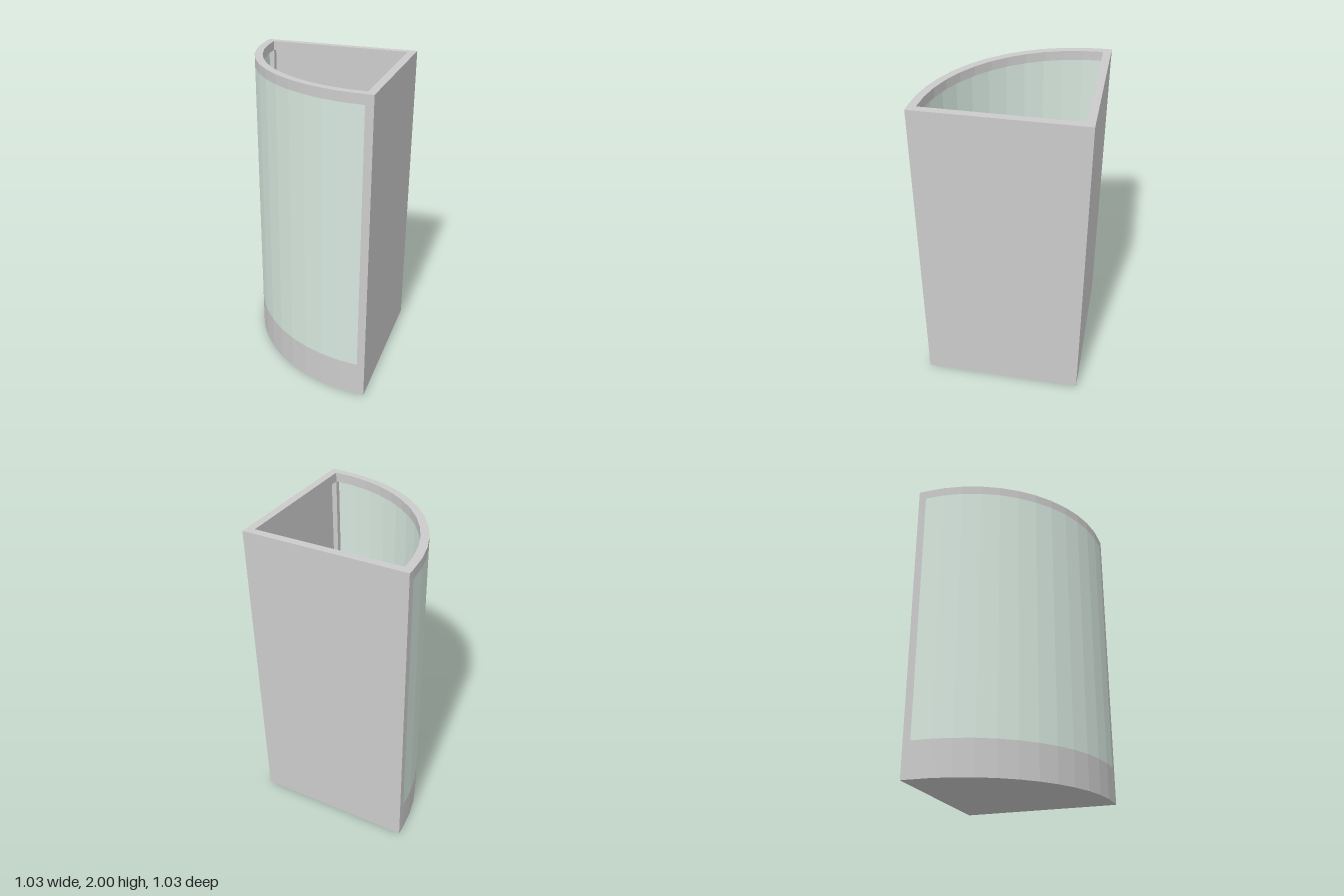
import * as THREE from 'three';

const HALF = 0.515, ARC_C = 0.465, ARC_R = 0.98, SEG = 12;
const PAN_TOP = 0.23, RING_BOTTOM = 1.94, TOP = 2;

const grey = new THREE.MeshStandardMaterial({ color: 0xcccccc, flatShading: true });
const glass = new THREE.MeshStandardMaterial({ color: 0xd6e7de, flatShading: true });
const drainMat = new THREE.MeshStandardMaterial({ color: 0x9babA6, flatShading: true });

// Points of the curved front, from the front corner to the back corner
function arc(radius) {
  const pts = [];
  for (let i = 0; i <= SEG; i++) {
    const a = (i / SEG) * Math.PI / 2;
    pts.push([ARC_C - radius * Math.sin(a), -ARC_C + radius * Math.cos(a)]);
  }
  return pts;
}

// Quarter-round plan inset by d
function outline(d) {
  const h = HALF - d;
  const curve = arc(ARC_R - d).map(([x, z]) => [Math.min(x, h), Math.max(z, -h)]);
  return [[h, -h], [h, h], ...curve, [-h, -h]];
}

// Skin through inset outlines [inset, y]; a null inset closes to a point
function loft(profile) {
  const loops = profile.map(([d, y]) =>
    outline(d ?? 0).map(([x, z]) => (d === null ? [0.1, y, -0.1] : [x, y, z])));
  const pos = [];
  for (let k = 0; k < loops.length - 1; k++) {
    const lo = loops[k], hi = loops[k + 1], n = lo.length;
    for (let i = 0; i < n; i++) {
      const j = (i + 1) % n;
      pos.push(...lo[i], ...hi[i], ...hi[j], ...lo[i], ...hi[j], ...lo[j]);
    }
  }
  const g = new THREE.BufferGeometry();
  g.setAttribute('position', new THREE.Float32BufferAttribute(pos, 3));
  g.computeVertexNormals();
  return g;
}

export function createModel() {
  const model = new THREE.Group();
  model.name = 'cornerShower';

  const add = (name, geometry, material = grey, parent = model) => {
    const mesh = new THREE.Mesh(geometry, material);
    mesh.name = name;
    parent.add(mesh);
    return mesh;
  };
  const box = (name, x0, x1, y0, y1, z0, z1, parent) => {
    const mesh = add(name, new THREE.BoxGeometry(x1 - x0, y1 - y0, z1 - z0), grey, parent);
    mesh.position.set((x0 + x1) / 2, (y0 + y1) / 2, (z0 + z1) / 2);
    return mesh;
  };

  // Tray with a sloped basin, and the top ring
  const floorY = 0.12;
  add('showerTray', loft([[null, 0], [0, 0], [0, PAN_TOP], [0.1, PAN_TOP], [0.13, floorY], [null, floorY]]));
  add('topRing', loft([[0, RING_BOTTOM], [0, TOP], [0.05, TOP], [0.05, RING_BOTTOM], [0, RING_BOTTOM]]));

  // Two flat walls, slightly thinner than the frame
  box('backWall', -HALF, HALF, PAN_TOP, RING_BOTTOM, -HALF, -0.5);
  box('sideWall', 0.5, HALF, PAN_TOP, RING_BOTTOM, -0.5, HALF);

  // Corner posts
  for (const [sx, sz] of [[-1, -1], [1, 1], [1, -1]]) {
    const post = box('cornerPost', -0.025, 0.025, PAN_TOP, RING_BOTTOM, -0.025, 0.025);
    post.position.x = sx * 0.49;
    post.position.z = sz * 0.49;
  }

  // Curved glass door
  const plan = [...arc(ARC_R), ...arc(ARC_R - 0.015).reverse()];
  const pane = new THREE.ExtrudeGeometry(
    new THREE.Shape(plan.map(([x, z]) => new THREE.Vector2(x, -z))),
    { depth: RING_BOTTOM - PAN_TOP, bevelEnabled: false });
  pane.rotateX(-Math.PI / 2);
  add('curvedGlass', pane, glass).position.y = PAN_TOP;

  // Drain
  const drain = add('drain', new THREE.CylinderGeometry(0.055, 0.055, 0.008, 6), drainMat);
  drain.position.set(0.19, floorY + 0.004, -0.192);
  drain.rotation.y = -0.27 + Math.PI;

  // Mixer on the back wall with a handle at each end
  const fixture = new THREE.Group();
  fixture.name = 'showerFixture';
  model.add(fixture);
  box('wallPlate', -0.06, 0.06, 1.52, 1.69, -0.5, -0.445, fixture);
  box('mixerBody', -0.12, 0.12, 1.555, 1.607, -0.445, -0.39, fixture);
  for (const s of [-1, 1]) {
    const neck = box('handleNeck', -0.006, 0.006, 1.56, 1.602, -0.438, -0.396, fixture);
    neck.position.x = s * 0.125;
    const handle = box('handle', -0.0125, 0.0125, 1.553, 1.609, -0.446, -0.389, fixture);
    handle.position.x = s * 0.142;
  }

  // Arm that rises forward and bends down to the head
  const side = [[-0.47, 1.57], [-0.47, 1.61], [-0.34, 1.61], [-0.235, 1.64], [-0.195, 1.64],
    [-0.172, 1.605], [-0.18, 1.55], [-0.215, 1.55], [-0.22, 1.6], [-0.335, 1.57]];
  const arm = new THREE.ExtrudeGeometry(
    new THREE.Shape(side.map(([z, y]) => new THREE.Vector2(-z, y))),
    { depth: 0.056, bevelEnabled: false });
  arm.rotateY(Math.PI / 2);
  add('showerArm', arm, grey, fixture).position.x = -0.028;

  // Diverter knob on the arm
  const knob = add('diverterKnob', new THREE.CylinderGeometry(0.02, 0.02, 0.08, 12), grey, fixture);
  knob.position.set(0, 1.645, -0.37);

  // Tilted square head, wider at the bottom
  const headGeo = new THREE.CylinderGeometry(0.06 * Math.SQRT2, 0.065 * Math.SQRT2, 0.035, 4);
  headGeo.rotateY(Math.PI / 4);
  const head = add('showerHead', headGeo, grey, fixture);
  head.position.set(0, 1.54, -0.193);
  head.rotation.x = -0.28;

  return model;
}
